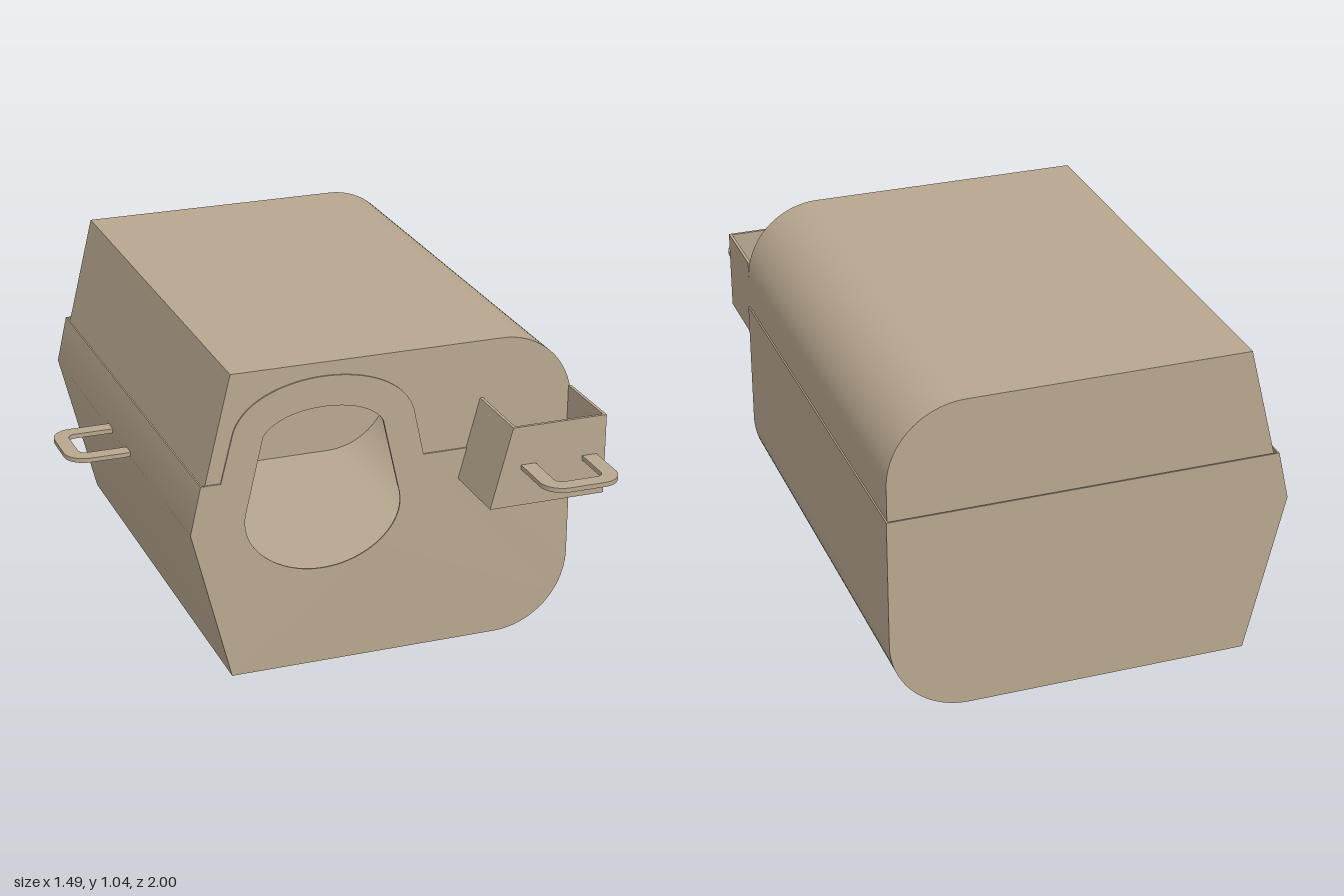
import * as THREE from 'three';
import { toCreasedNormals } from 'three/addons/utils/BufferGeometryUtils.js';

const T = 0.005; // shell thickness

export function createModel() {
  const group = new THREE.Group();
  const tan = new THREE.MeshStandardMaterial({ color: 0xb8a78f });
  tan.name = 'tan plastic';

  const add = (name, geometry) => {
    const mesh = new THREE.Mesh(geometry, tan);
    mesh.name = name;
    group.add(mesh);
    return mesh;
  };
  // Extrude a shape in the xy plane between two z positions
  const slab = (shape, z0, z1) => {
    const g = new THREE.ExtrudeGeometry(shape, { depth: z1 - z0, bevelEnabled: false, curveSegments: 20 });
    g.translate(0, 0, z0);
    return toCreasedNormals(g, 0.5);
  };
  const V = (x, y) => new THREE.Vector2(x, y);
  // Rounded corner points
  const arc = (cx, cy, r, a0, a1, n = 24) => Array.from({ length: n + 1 }, (_, i) => {
    const a = a0 + (a1 - a0) * i / n;
    return V(cx + r * Math.cos(a), cy + r * Math.sin(a));
  });

  // Open outlines, counter-clockwise; t insets them to give the inner wall
  const basePath = t => [
    V(-0.505 + t, 0.69), V(-0.54 + t, 0.53), V(-0.41 + t, 0.02 + t),
    ...arc(0.49, 0.27, 0.25 - t, -Math.PI / 2, 0), V(0.74 - t, 0.69),
  ];
  const lidPath = t => [
    V(0.735 - t, 0.59), ...arc(0.49, 0.8, 0.245 - t, 0, Math.PI / 2),
    V(-0.405 + t, 1.045 - t), V(-0.514 + t, 0.59),
  ];
  const strip = path => new THREE.Shape([...path(0), ...path(T).reverse()]);

  // Mouth opening, symmetrical about its own centre line
  const opening = () => {
    const p = new THREE.Path();
    p.moveTo(-0.105, 0.9);
    p.bezierCurveTo(-0.19, 0.9, -0.275, 0.875, -0.303, 0.825);
    p.lineTo(-0.36, 0.575);
    p.bezierCurveTo(-0.385, 0.46, -0.26, 0.35, -0.105, 0.35);
    p.bezierCurveTo(0.05, 0.35, 0.175, 0.46, 0.15, 0.575);
    p.lineTo(0.093, 0.825);
    p.bezierCurveTo(0.065, 0.875, -0.02, 0.9, -0.105, 0.9);
    return p;
  };

  // Base: walls, back, and a front that rises into a collar round the opening
  add('baseWall', slab(strip(basePath), -1 + T, 0.545 - T));
  add('baseBack', slab(new THREE.Shape(basePath(0)), -1, -1 + T));
  const front = new THREE.Shape(basePath(0));
  front.lineTo(0.23, 0.69);
  front.lineTo(0.195, 0.85);
  front.bezierCurveTo(0.165, 0.95, 0.03, 1.0, -0.103, 1.0);
  front.bezierCurveTo(-0.236, 1.0, -0.37, 0.95, -0.4, 0.85);
  front.lineTo(-0.44, 0.69);
  front.holes.push(opening());
  add('baseFront', slab(front, 0.545 - T, 0.545));

  // Lid, tucked just inside the lip of the base
  add('lidWall', slab(strip(lidPath), -0.99 + T, 0.54 - T));
  add('lidBack', slab(new THREE.Shape(lidPath(0)), -0.99, -0.99 + T));
  const lidFront = new THREE.Shape(lidPath(0));
  // The opening crosses the lower edge, so it is cut as a notch
  lidFront.lineTo(-0.357, 0.59);
  lidFront.lineTo(-0.303, 0.825);
  lidFront.bezierCurveTo(-0.275, 0.875, -0.19, 0.9, -0.105, 0.9);
  lidFront.bezierCurveTo(-0.02, 0.9, 0.065, 0.875, 0.093, 0.825);
  lidFront.lineTo(0.147, 0.59);
  add('lidFront', slab(lidFront, 0.54 - T, 0.54));

  // Open-topped tray on the front
  const w = 0.01;
  add('trayWalls', slab(new THREE.Shape([
    V(0.35, 0.588), V(0.735, 0.588), V(0.735, 0.852), V(0.735 - w, 0.852),
    V(0.735 - w, 0.588 + w), V(0.353 + w, 0.588 + w), V(0.42 + w, 0.852), V(0.42, 0.852),
  ]), 0.54, 0.785));
  add('trayFront', slab(new THREE.Shape([
    V(0.35, 0.588), V(0.735, 0.588), V(0.735, 0.852), V(0.42, 0.852),
  ]), 0.785, 0.795));

  // Flat loop handles: a U lying level, reaching out along +z
  const uPoints = (half, len, r) => [
    V(half, 0), ...arc(half - r, len - r, r, 0, Math.PI / 2, 10),
    ...arc(-half + r, len - r, r, Math.PI / 2, Math.PI, 10), V(-half, 0),
  ];
  const handleGeometry = () => {
    const g = slab(new THREE.Shape([
      ...uPoints(0.128, 0.215, 0.07), ...uPoints(0.079, 0.166, 0.025).reverse(),
    ]), -0.0075, 0.0075);
    return g.rotateX(Math.PI / 2);
  };
  add('frontHandle', handleGeometry()).position.set(0.578, 0.717, 0.785);
  const side = add('sideHandle', handleGeometry());
  side.rotation.y = -Math.PI / 2;
  side.position.set(-0.53, 0.535, -0.23);

  // Feet
  for (const x of [-0.262, 0.338])
    for (const z of [0.397, -0.843])
      add('foot', new THREE.BoxGeometry(0.104, 0.022, 0.104)).position.set(x, 0.011, z);

  return group;
}
